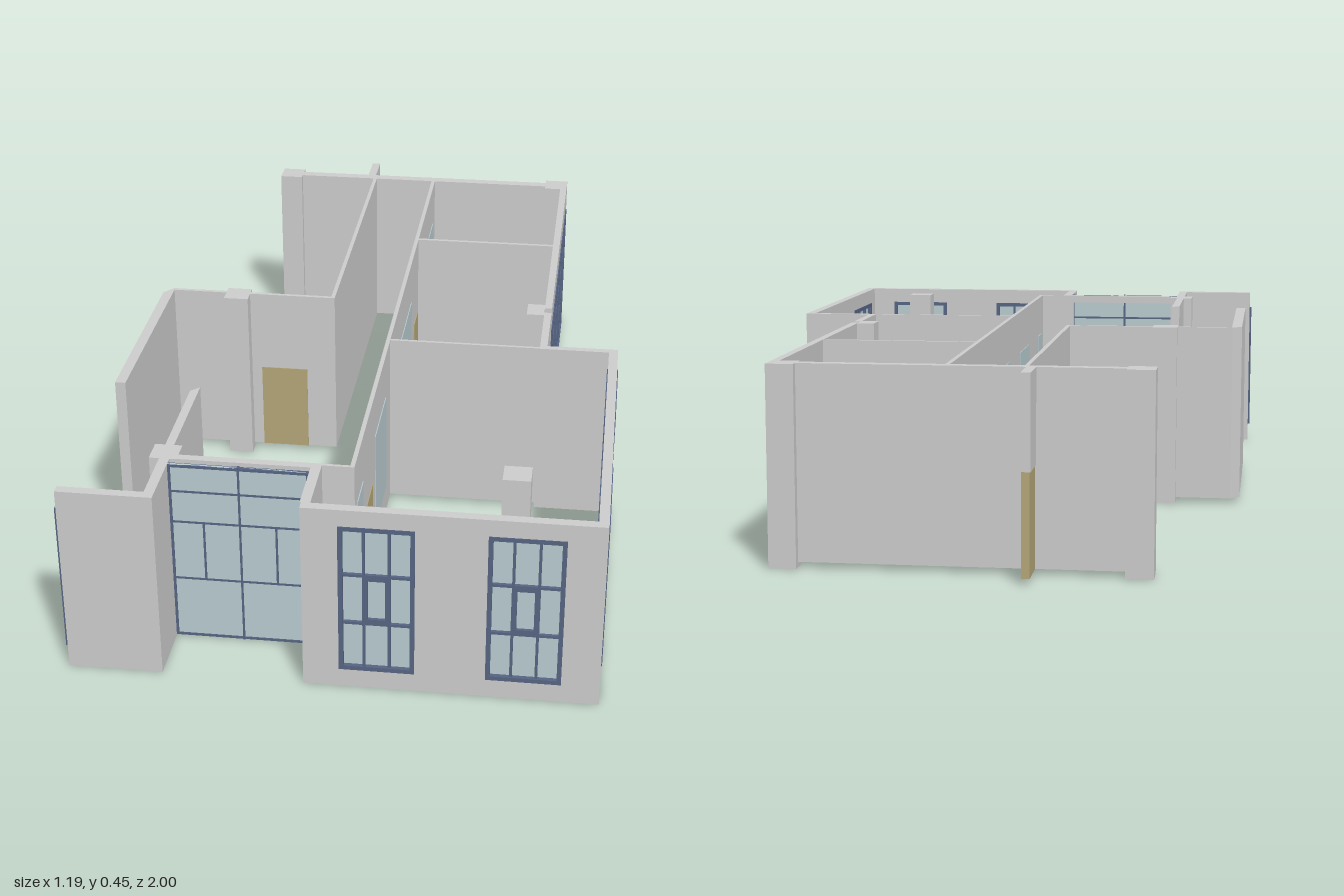
import * as THREE from 'three';

const H = 0.45;
const BASE = 0.012;

export function createModel() {
  const model = new THREE.Group();
  const grey = new THREE.MeshStandardMaterial({ color: 0xcccccc });
  const glass = new THREE.MeshStandardMaterial({ color: 0xb8cbcf });
  const frame = new THREE.MeshStandardMaterial({ color: 0x566482 });
  const timber = new THREE.MeshStandardMaterial({ color: 0xb4a679 });

  const add = (parent, name, geometry, material) => {
    const mesh = new THREE.Mesh(geometry, material);
    mesh.name = name;
    parent.add(mesh);
    return mesh;
  };

  // Box given by its two extreme corners
  const box = (parent, name, material, x0, x1, y0, y1, z0, z1) => {
    const mesh = add(parent, name, new THREE.BoxGeometry(x1 - x0, y1 - y0, z1 - z0), material);
    mesh.position.set((x0 + x1) / 2, (y0 + y1) / 2, (z0 + z1) / 2);
    return mesh;
  };

  // Vertical prism over a floor plan of [x, z] points
  const planWall = (name, points, y0 = BASE) => {
    const shape = new THREE.Shape(points.map(([x, z]) => new THREE.Vector2(x, -z)));
    const geometry = new THREE.ExtrudeGeometry(shape, { depth: H - y0, bevelEnabled: false });
    geometry.rotateX(-Math.PI / 2).translate(0, y0, 0);
    add(model, name, geometry, grey);
  };

  // Group whose local x runs along the wall and local z across it
  const wallGroup = (name, axis, centre) => {
    const group = new THREE.Group();
    group.name = name;
    if (axis === 'z') {
      group.rotation.y = Math.PI / 2;
      group.position.x = centre;
    } else group.position.z = centre;
    model.add(group);
    return group;
  };
  const along = (axis, a, b) => (axis === 'z' ? [-b, -a] : [a, b]);

  // Pane with outer frame and inner bars; bars are [u0, v0, u1, v1] in fractions
  const glazing = (parent, name, [u0, u1], y0, y1, depth, edge, bars, barWidth) => {
    const group = new THREE.Group();
    group.name = name;
    parent.add(group);
    box(group, 'glassPane', glass, u0, u1, y0, y1, -0.003, 0.003);
    const bar = (a, b, c, d, w, t) =>
      box(group, 'frameBar', frame, a - w / 2, c + w / 2, b - w / 2, d + w / 2, -t / 2, t / 2);
    const e = edge / 2;
    const [l, r, b, t] = [u0 + e, u1 - e, y0 + e, y1 - e];
    bar(l, b, r, b, edge, depth);
    bar(l, t, r, t, edge, depth);
    bar(l, b, l, t, edge, depth);
    bar(r, b, r, t, edge, depth);
    for (const [p, q, s, v, w = barWidth] of bars)
      bar(u0 + p * (u1 - u0), y0 + q * (y1 - y0), u0 + s * (u1 - u0), y0 + v * (y1 - y0), w, depth * 0.8);
  };

  // Straight wall with rectangular openings [from, to, bottom, top]
  const wall = (name, axis, a, b, c0, c1, y0 = BASE, openings = []) => {
    const group = wallGroup(name, axis, (c0 + c1) / 2);
    const rect = (Type, [u0, u1], v0, v1) => {
      const path = new Type();
      path.moveTo(u0, v0);
      path.lineTo(u1, v0);
      path.lineTo(u1, v1);
      path.lineTo(u0, v1);
      path.closePath();
      return path;
    };
    const shape = rect(THREE.Shape, along(axis, a, b), y0, H);
    for (const [s, e, v0, v1] of openings)
      shape.holes.push(rect(THREE.Path, along(axis, s, e), v0, v1));
    const geometry = new THREE.ExtrudeGeometry(shape, { depth: c1 - c0, bevelEnabled: false });
    add(group, 'wallBody', geometry.translate(0, 0, (c0 - c1) / 2), grey);
    return group;
  };

  // Regular grid of dividing bars
  const grid = (columns, rows) => {
    const bars = [];
    for (let i = 1; i < columns; i++) bars.push([i / columns, 0, i / columns, 1]);
    for (let j = 1; j < rows; j++) bars.push([0, j / rows, 1, j / rows]);
    return bars;
  };

  // Nine-pane window with a heavier casement in the middle
  const [p, q] = [0.35, 0.65];
  const casement = [
    ...grid(3, 3),
    [p, p, q, p, 0.012], [p, q, q, q, 0.012], [p, p, p, q, 0.012], [q, p, q, q, 0.012],
  ];

  // Front wall
  const frontWindows = [[0.02, 0.186, 0.045, 0.41], [0.341, 0.506, 0.045, 0.41]];
  const front = wall('frontWall', 'x', -0.06, 0.59, 0.977, 1.0, 0, frontWindows);
  for (const [a, b, y0, y1] of frontWindows)
    glazing(front, 'frontWindow', [a, b], y0, y1, 0.027, 0.01, casement, 0.006);

  // Outer wall of the front room
  const sideWindows = [[0.677, 0.92, 0.045, 0.41], [0.197, 0.44, 0.045, 0.41], [0.525, 0.61, 0.118, 0.275]];
  const side = wall('sideWall', 'z', 0.17, 0.977, 0.568, 0.59, 0, sideWindows);
  sideWindows.forEach(([a, b, y0, y1], i) =>
    glazing(side, 'sideWindow', along('z', a, b), y0, y1, 0.027, 0.01, i < 2 ? casement : grid(2, 1), 0.006));
  wall('stepWall', 'x', 0.4, 0.568, 0.17, 0.187, 0);

  // Long wall with the window band
  const band = [-0.856, -0.053, 0.018, 0.392];
  const long = wall('longWall', 'z', -0.9, -0.045, 0.4, 0.418, BASE, [band]);
  glazing(long, 'windowBand', along('z', band[0], band[1]), band[2], band[3], 0.024, 0.009, grid(6, 3), 0.006);
  wall('longWallEnd', 'z', -0.02, 0.17, 0.4, 0.418);

  // Entrance recess with its glazed screen
  wall('recessReturn', 'z', 0.81, 0.977, -0.063, -0.04, 0);
  wall('recessReturn', 'z', 0.83, 0.977, -0.4, -0.377, 0);
  wall('frontWingWall', 'x', -0.59, -0.377, 0.977, 1.0, 0);
  box(model, 'wingFrame', frame, -0.595, -0.589, 0.05, 0.405, 0.978, 0.995);
  wall('entranceSurround', 'x', -0.38, -0.063, 0.81, 0.83, 0, [[-0.365, -0.07, 0.012, 0.43]]);
  wall('entranceLink', 'x', -0.04, 0.022, 0.81, 0.818);
  const entrance = wallGroup('entrance', 'x', 0.85);
  glazing(entrance, 'entranceScreen', [-0.377, -0.063], 0.002, 0.449, 0.01, 0.006, [
    [0.5, 0, 0.5, 1], [0, 0.85, 1, 0.85], [0, 0.675, 1, 0.675], [0, 0.345, 1, 0.345],
    [0.24, 0.345, 0.24, 0.675], [0.76, 0.345, 0.76, 0.675],
  ], 0.005);

  // Wing walls with angled ends
  planWall('wingWall', [
    [-0.585, 0.49], [-0.585, -0.02], [-0.562, -0.048], [-0.14, -0.048],
    [-0.14, -0.038], [-0.56, -0.038], [-0.56, 0.49],
  ]);
  planWall('wingPartition', [[-0.4, 0.81], [-0.4, 0.51], [-0.38, 0.49], [-0.38, 0.81]]);
  box(model, 'wingDoor', timber, -0.335, -0.215, BASE, 0.24, -0.05, -0.036);

  // Back wall and stub with a door
  wall('backWall', 'x', -0.4, 0.4, -0.905, -0.878);
  wall('backStub', 'z', -1, -0.905, -0.168, -0.146, 0.24);
  box(model, 'stubDoor', timber, -0.166, -0.148, BASE, 0.24, -1, -0.905);

  // Corridor walls and room partitions
  wall('corridorWall', 'z', -0.878, -0.048, -0.15, -0.14);
  wall('roomPartition', 'x', 0.032, 0.4, -0.452, -0.442);
  wall('roomPartition', 'x', 0.032, 0.4, 0.178, 0.186);
  const panes = [[-0.82, -0.64], [-0.27, 0.07], [0.28, 0.48], [0.69, 0.78]];
  const doors = [[-0.56, -0.47], [-0.43, -0.34], [0.53, 0.64]];
  wall('innerWall', 'z', -0.878, 0.818, 0.022, 0.032);
  for (const [a, b] of panes) box(model, 'innerPane', glass, 0.02, 0.034, 0.09, 0.34, a, b);
  for (const [a, b] of doors) box(model, 'innerDoor', timber, 0.02, 0.034, BASE, 0.24, a, b);

  // Columns
  for (const z of [-0.893, -0.035, 0.8])
    for (const x of [-0.392, 0.387])
      box(model, 'column', grey, x - 0.031, x + 0.031 - (x > 0 && z < 0 && z > -0.5 ? 0.018 : 0), 0, H, z - 0.031, z + 0.031);

  return model;
}
